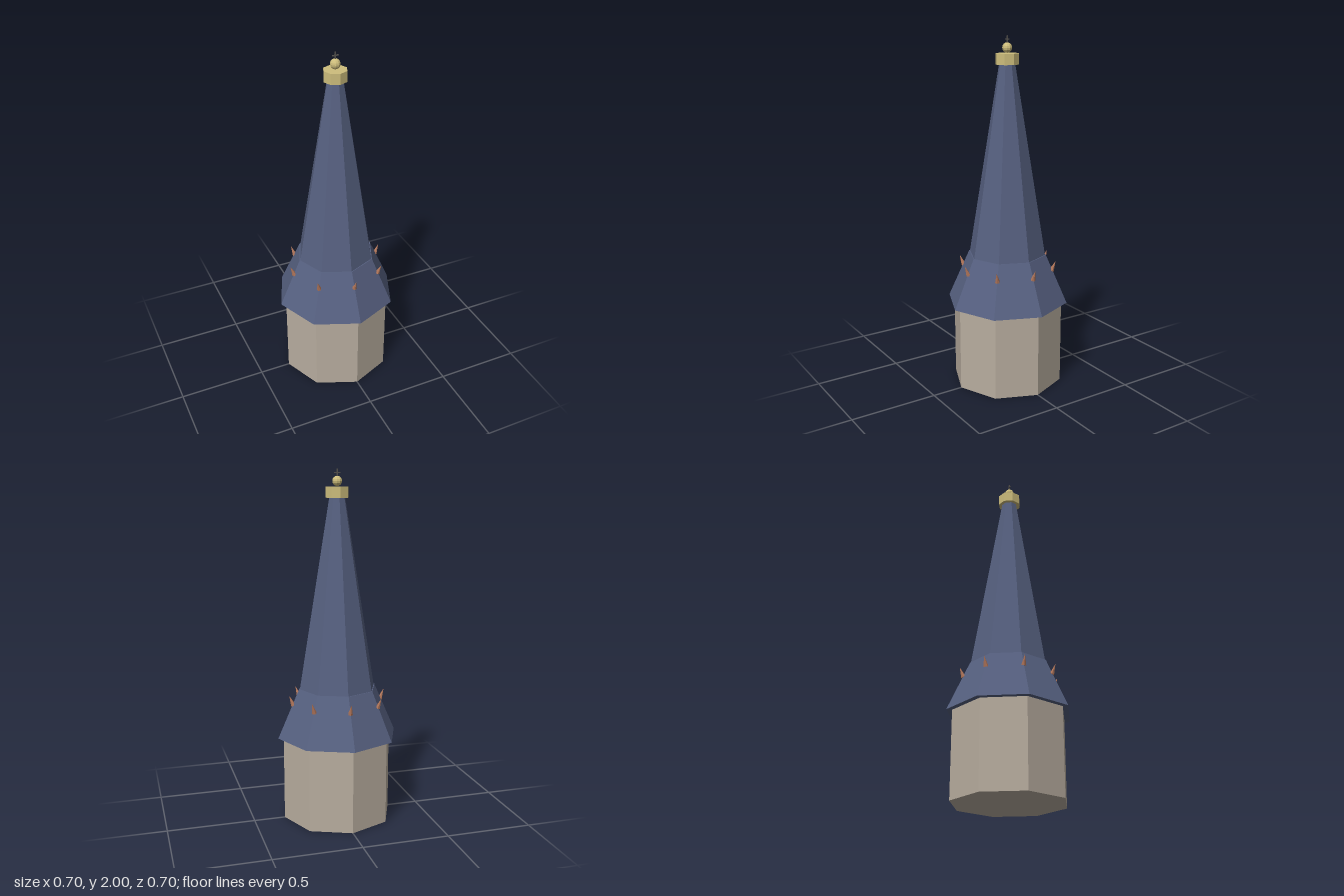
import * as THREE from 'three';

const flat = (name, color) => {
  const m = new THREE.MeshStandardMaterial({ color, flatShading: true });
  m.name = name;
  return m;
};

export function createModel() {
  const stone = flat('stone', 0xb8ad9f);
  const slate = flat('slate', 0x566080);
  const gold = flat('gold', 0xcdbd7c);
  const copper = flat('copper', 0xb4785c);
  const iron = flat('iron', 0x55524e);

  const model = new THREE.Group();
  model.name = 'spire';
  const add = (name, geometry, material, y, parent = model) => {
    const mesh = new THREE.Mesh(geometry, material);
    mesh.name = name;
    mesh.position.y = y;
    parent.add(mesh);
    return mesh;
  };
  // Eight-sided tier between two heights, with corners on the axes
  const tier = (name, material, rBottom, rTop, y0, y1) =>
    add(name, new THREE.CylinderGeometry(rTop, rBottom, y1 - y0, 8), material, (y0 + y1) / 2);

  tier('drum', stone, 0.32, 0.32, 0, 0.487);
  tier('skirtRoof', slate, 0.352, 0.227, 0.487, 0.77);
  tier('spireRoof', slate, 0.222, 0.045, 0.77, 1.85);
  tier('collar', gold, 0.066, 0.066, 1.845, 1.905);

  // Finial: ball, rod and crossbar
  add('ball', new THREE.SphereGeometry(0.028, 10, 8), gold, 1.935);
  add('rod', new THREE.BoxGeometry(0.006, 0.06, 0.006), iron, 1.97);
  add('crossbar', new THREE.BoxGeometry(0.036, 0.006, 0.006), iron, 1.98);

  // Small hooks on the skirt's ridges, leaning outwards
  for (let i = 0; i < 8; i++) {
    const pivot = new THREE.Group();
    pivot.name = 'hook' + (i + 1);
    pivot.rotation.y = (i * Math.PI) / 4;
    const hook = add('hookCone', new THREE.ConeGeometry(0.014, 0.062, 6), copper, 0.708, pivot);
    hook.position.z = 0.273;
    hook.rotation.x = 0.38;
    model.add(pivot);
  }
  return model;
}
